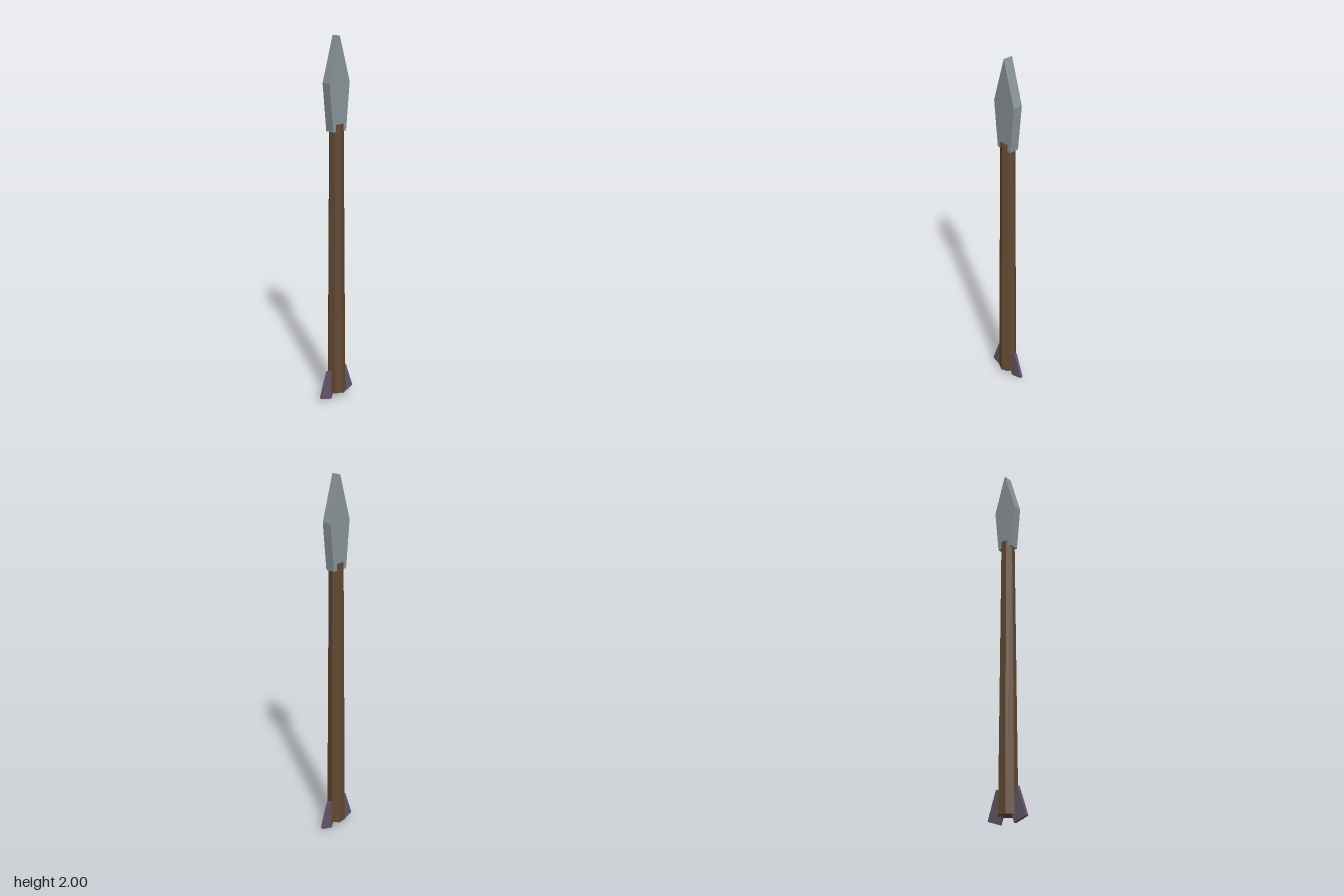
import * as THREE from 'three';

const mat = (color) => new THREE.MeshStandardMaterial({ color, flatShading: true });
const Z = -0.0025; // centre line of the weapon

export function createModel() {
  const group = new THREE.Group();
  const add = (name, geometry, material, x, y) => {
    const mesh = new THREE.Mesh(geometry, material);
    mesh.name = name;
    mesh.position.set(x, y, Z);
    group.add(mesh);
    return mesh;
  };

  // Tapered seven-sided wooden shaft
  add('shaft', new THREE.CylinderGeometry(0.0385, 0.0515, 1.52, 7), mat(0x634a33), 0, 0.8);

  // Flat kite-shaped blade
  const outline = new THREE.Shape([
    [-0.045, 1.523], [0.045, 1.523], [0.069, 1.77], [0, 2], [-0.069, 1.77],
  ].map(([x, y]) => new THREE.Vector2(x, y)));
  const blade = new THREE.ExtrudeGeometry(outline, { depth: 0.052, bevelEnabled: false });
  blade.translate(0, 0, -0.026);
  add('blade', blade, mat(0x8a9599), 0, 0);

  // Pair of slanted fins at the foot
  const finMaterial = mat(0x64566a);
  for (const side of [1, -1]) {
    const fin = add(side > 0 ? 'leftFin' : 'rightFin',
      new THREE.BoxGeometry(0.079, 0.16, 0.017), finMaterial, side * 0.056, 0.0885);
    fin.rotation.z = side * THREE.MathUtils.degToRad(19);
  }
  return group;
}
